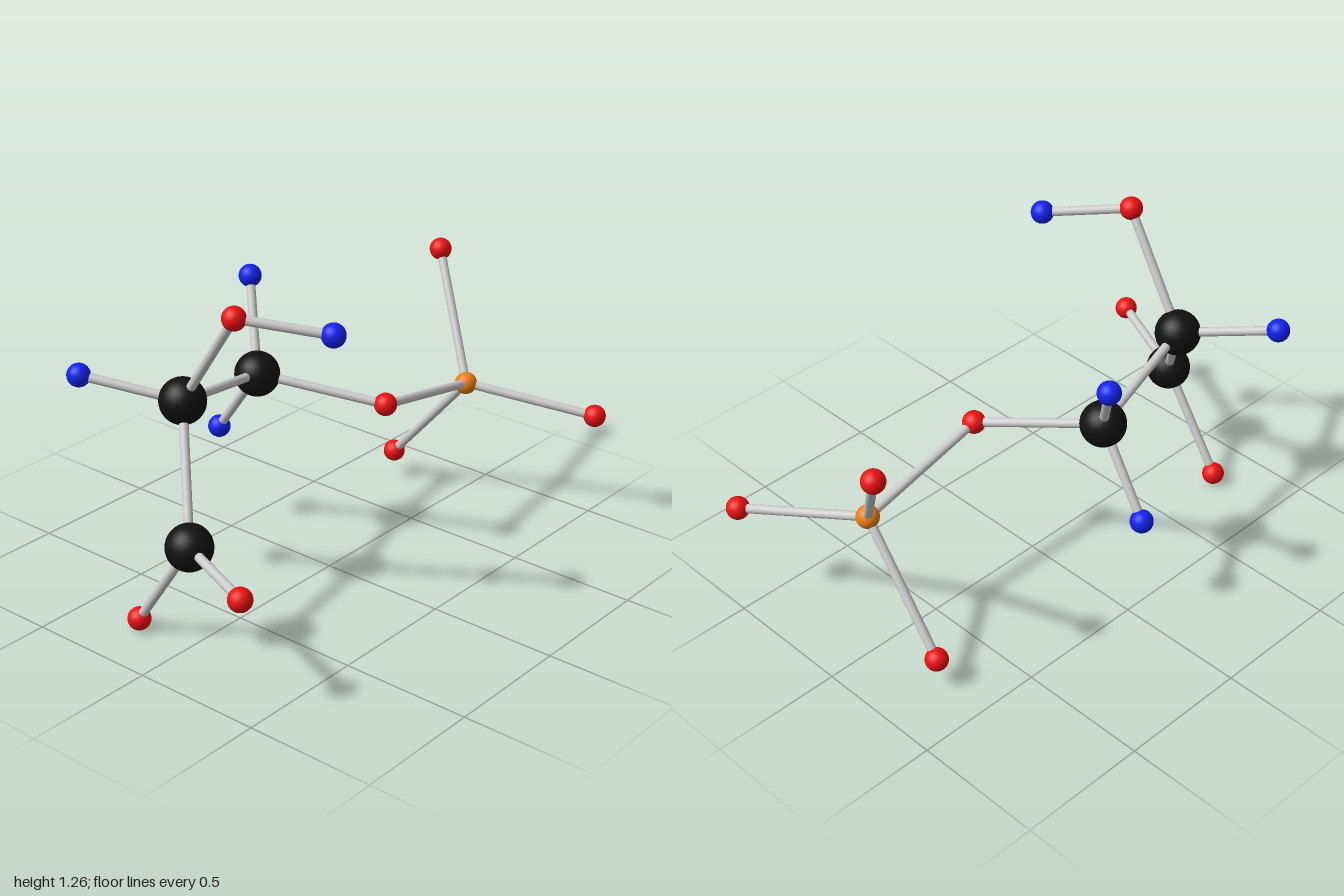
import * as THREE from 'three';

// Element styles: radius and colour
const ELEMENTS = {
  carbon: { radius: 0.085, color: 0x111111 },
  oxygen: { radius: 0.043, color: 0xee1111 },
  hydrogen: { radius: 0.043, color: 0x1122ee },
  phosphorus: { radius: 0.043, color: 0xee7f11 },
};

// Atoms: element and centre
const ATOMS = {
  acidCarbon: ['carbon', -0.79, 0.425, 0.04],
  middleCarbon: ['carbon', -0.557, 0.822, -0.197],
  endCarbon: ['carbon', -0.056, 0.726, -0.3],
  phosphorus: ['phosphorus', 0.726, 0.53, 0.083],
  bridgeOxygen: ['oxygen', 0.185, 0.638, 0.113],
  hydroxylOxygen: ['oxygen', -0.594, 1.215, 0.087],
  hydroxylHydrogen: ['hydrogen', -0.402, 1.165, 0.354],
  middleHydrogen: ['hydrogen', -0.746, 0.894, -0.512],
  endHydrogenUpper: ['hydrogen', 0.096, 1.027, -0.465],
  endHydrogenLower: ['hydrogen', -0.022, 0.432, -0.53],
  acidOxygenFront: ['oxygen', -0.958, 0.438, 0.425],
  acidOxygenLower: ['oxygen', -0.785, 0.044, -0.224],
  phosphateOxygenUpper: ['oxygen', 0.92, 0.962, -0.199],
  phosphateOxygenFront: ['oxygen', 0.957, 0.44, 0.53],
  phosphateOxygenLower: ['oxygen', 0.754, 0.115, -0.286],
};

// Bonds from each hub atom to its neighbours
const BONDS = {
  acidCarbon: ['acidOxygenFront', 'acidOxygenLower', 'middleCarbon'],
  middleCarbon: ['hydroxylOxygen', 'middleHydrogen', 'endCarbon'],
  hydroxylOxygen: ['hydroxylHydrogen'],
  endCarbon: ['endHydrogenUpper', 'endHydrogenLower', 'bridgeOxygen'],
  phosphorus: ['bridgeOxygen', 'phosphateOxygenUpper', 'phosphateOxygenFront', 'phosphateOxygenLower'],
};

const BOND_RADIUS = 0.017;

export function createModel() {
  const model = new THREE.Group();
  model.name = 'molecule';

  // One shared geometry and material per element
  const styles = {};
  for (const [element, { radius, color }] of Object.entries(ELEMENTS)) {
    styles[element] = {
      geometry: new THREE.SphereGeometry(radius, 32, 20),
      material: new THREE.MeshStandardMaterial({ color }),
    };
  }

  // Atom balls
  const centres = {};
  for (const [name, [element, x, y, z]] of Object.entries(ATOMS)) {
    const { geometry, material } = styles[element];
    const ball = new THREE.Mesh(geometry, material);
    ball.name = name;
    ball.position.set(x, y, z);
    centres[name] = ball.position;
    model.add(ball);
  }

  // Bond rods, running from centre to centre
  const grey = new THREE.MeshStandardMaterial({ color: 0xcccccc });
  const up = new THREE.Vector3(0, 1, 0);
  for (const [hub, neighbours] of Object.entries(BONDS)) {
    for (const neighbour of neighbours) {
      const span = centres[neighbour].clone().sub(centres[hub]);
      const rod = new THREE.Mesh(
        new THREE.CylinderGeometry(BOND_RADIUS, BOND_RADIUS, span.length(), 20), grey);
      rod.name = `bond ${hub} to ${neighbour}`;
      rod.position.copy(centres[hub]).addScaledVector(span, 0.5);
      rod.quaternion.setFromUnitVectors(up, span.normalize());
      model.add(rod);
    }
  }

  return model;
}
